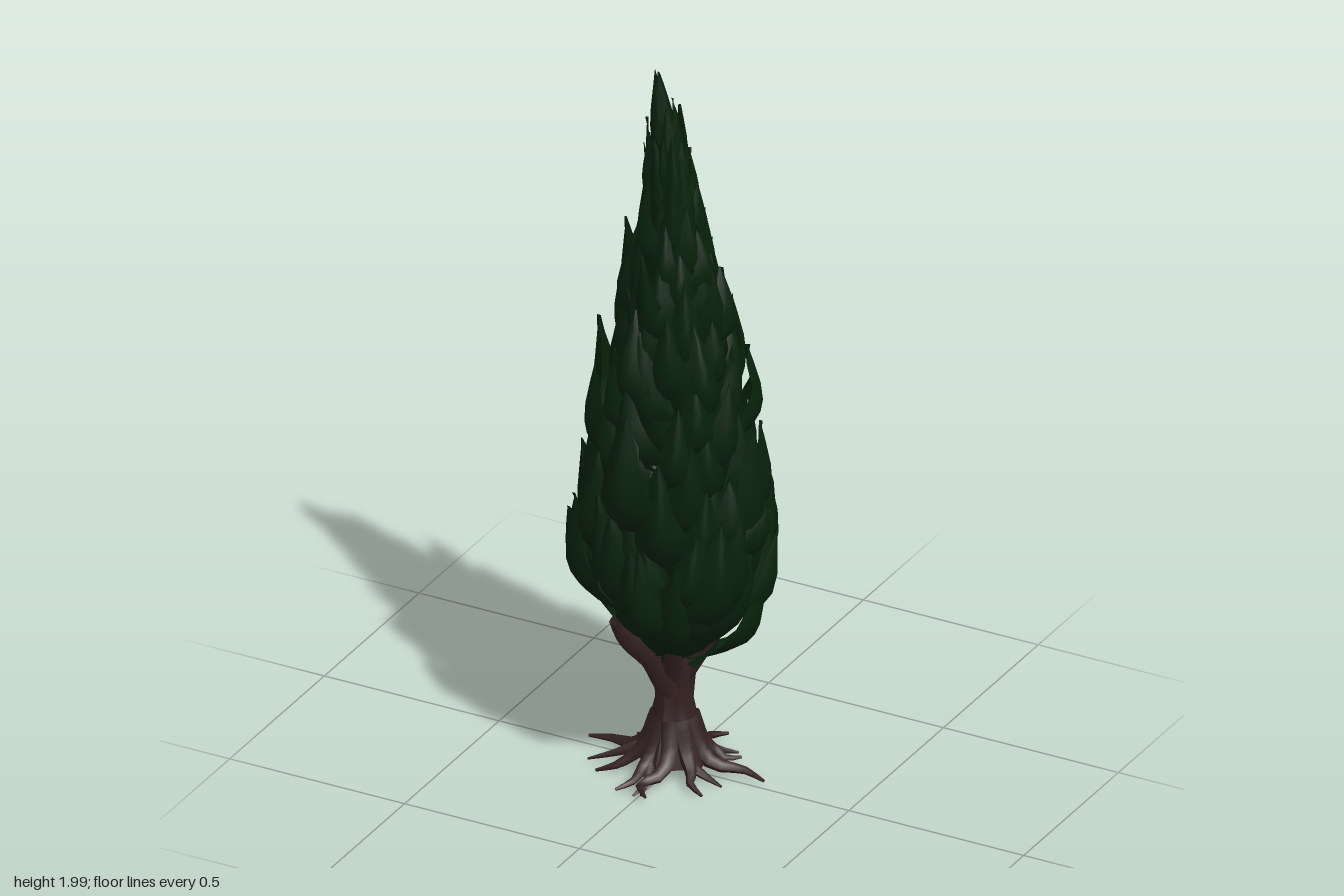
import * as THREE from 'three';
import { mergeGeometries } from 'three/addons/utils/BufferGeometryUtils.js';

const leafGreen = new THREE.MeshStandardMaterial({ color: 0x08210b, side: THREE.DoubleSide });
leafGreen.name = 'leafGreen';
const barkBrown = new THREE.MeshStandardMaterial({ color: 0x352222, side: THREE.DoubleSide });
barkBrown.name = 'barkBrown';

const V = (x, y, z) => new THREE.Vector3(x, y, z);
const RAD = Math.PI / 180;

// Seeded random numbers in 0..1
let seed = 7;
const rand = () => (seed = (seed * 16807) % 2147483647) / 2147483647;
const vary = (amount) => (rand() * 2 - 1) * amount;

// Crown outline: radius at a given height
const OUTLINE = [[0.33, 0.09], [0.42, 0.18], [0.5, 0.22], [0.6, 0.245], [0.8, 0.235], [1, 0.205],
  [1.2, 0.172], [1.4, 0.125], [1.6, 0.078], [1.75, 0.06], [1.9, 0.035], [2, 0]];
function crownRadius(y) {
  for (let i = 1; i < OUTLINE.length; i++) {
    const [y0, r0] = OUTLINE[i - 1], [y1, r1] = OUTLINE[i];
    if (y <= y1) return THREE.MathUtils.lerp(r0, r1, Math.max(0, (y - y0) / (y1 - y0)));
  }
  return 0;
}

// Pointed, deeply cupped plume that follows a radius/height profile on one side of the trunk
const WIDTHS = [0.4, 0.78, 0.97, 1, 0.9, 0.74, 0.5, 0.27, 0];
function plume(angle, halfWidth, profile) {
  const rows = WIDTHS.length - 1;
  const curve = new THREE.SplineCurve(profile.map(([r, y]) => new THREE.Vector2(r, y)));
  const geo = new THREE.PlaneGeometry(2, 1, 6, rows);
  const pos = geo.attributes.position;
  const sin = Math.sin(angle), cos = Math.cos(angle), sway = vary(0.35);
  for (let i = 0; i < pos.count; i++) {
    const s = pos.getX(i), t = THREE.MathUtils.clamp(pos.getY(i) + 0.5, 0, 1);
    const p = curve.getPoint(t);
    const edge = Math.abs(s) > 0.9;
    const w = halfWidth * WIDTHS[Math.round(t * rows)] * (edge ? 1 + vary(0.16) : 1);
    const across = s * w + sway * halfWidth * t * t;
    const out = p.x - 0.8 * w * Math.pow(Math.abs(s), 1.6) + (edge ? vary(0.008) : 0);
    const lean = Math.pow(Math.max(0, p.y - 1), 3);
    pos.setXYZ(i, sin * out + cos * across - 0.035 * lean, p.y - 0.1 * w * s * s,
      cos * out - sin * across + 0.02 * lean);
  }
  geo.computeVertexNormals();
  return geo;
}

// Tapered limb along a curve
function limb(points, r0, r1, sides = 7, steps = 9) {
  const curve = new THREE.CatmullRomCurve3(points);
  const geo = new THREE.TubeGeometry(curve, steps, 1, sides);
  const pos = geo.attributes.position, v = V(0, 0, 0);
  for (let i = 0; i < pos.count; i++) {
    const t = Math.floor(i / (sides + 1)) / steps;
    const c = curve.getPointAt(t);
    v.fromBufferAttribute(pos, i).sub(c).multiplyScalar(THREE.MathUtils.lerp(r0, r1, t)).add(c);
    pos.setXYZ(i, v.x, v.y, v.z);
  }
  geo.computeVertexNormals();
  return geo;
}

const polar = (angle, r, y) => V(Math.sin(angle) * r, y, Math.cos(angle) * r);

function buildTrunk() {
  const profile = [[0.09, 0.035], [0.084, 0.06], [0.07, 0.1], [0.056, 0.15], [0.046, 0.2], [0.05, 0.26],
    [0.062, 0.32], [0.052, 0.42], [0.032, 0.9], [0.006, 1.7]].map(([r, y]) => new THREE.Vector2(r, y));
  const geo = new THREE.LatheGeometry(profile, 20);
  const pos = geo.attributes.position;
  for (let i = 0; i < pos.count; i++) {
    const x = pos.getX(i), y = pos.getY(i), z = pos.getZ(i);
    const k = 1 + 0.1 * Math.cos(5 * Math.atan2(x, z) + y * 5);
    pos.setXYZ(i, x * k, y, z * k);
  }
  geo.computeVertexNormals();
  return geo;
}

function buildRoots() {
  const parts = [];
  const lengths = [0.22, 0.19, 0.25, 0.17, 0.2, 0.23, 0.18, 0.25, 0.2, 0.21];
  lengths.forEach((len, i) => {
    const a = (i / lengths.length) * Math.PI * 2 + 0.3, bend = vary(0.35);
    parts.push(limb([polar(a, 0.035, 0.15), polar(a, 0.075, 0.07), polar(a + bend * 0.3, 0.115, 0.038),
      polar(a + bend, len * 0.75, 0.028), polar(a + bend * 0.4, len, 0.01 + rand() * 0.018)], 0.032, 0.004, 6));
    // side rootlet
    if (i % 3 === 2) return;
    const side = i % 2 ? 0.4 : -0.4;
    parts.push(limb([polar(a, 0.08, 0.05), polar(a + side * 0.7, len * 0.62, 0.024),
      polar(a + side * 0.9, len * 0.88, 0.008)], 0.018, 0.003, 5, 6));
  });
  return mergeGeometries(parts);
}

const FORK = -25 * RAD; // side on which the forked bough shows

function buildBoughs() {
  const parts = [limb([V(0, 0.24, 0.01), polar(FORK, 0.07, 0.34), polar(FORK, 0.15, 0.42),
    polar(FORK, 0.18, 0.48)], 0.046, 0.02)];
  [25, 95, 150, 215, 270].forEach((d) => {
    const a = d * RAD;
    parts.push(limb([V(0, 0.25, 0), polar(a, 0.06, 0.34), polar(a, 0.11, 0.42), polar(a, 0.13, 0.6)], 0.036, 0.008));
  });
  return mergeGeometries(parts);
}

// Overlapping plumes set in a spiral up the crown
function buildFoliage(count, scale, turn) {
  const parts = [];
  for (let i = 0; i < count; i++) {
    const f = i / (count - 1);
    const a = i * 2.39996 + turn + vary(0.2);
    const y0 = 0.32 + 1.33 * Math.pow(f, 1.15);
    const gap = Math.atan2(Math.sin(a - FORK), Math.cos(a - FORK));
    if (y0 < 0.42 && Math.abs(gap) < 0.4) continue;
    const len = THREE.MathUtils.lerp(0.35, 0.23, f) * (1 + vary(0.18));
    const w = THREE.MathUtils.lerp(0.105, 0.043, f) * (1 + vary(0.15));
    const puff = scale * (0.98 + vary(0.11)), flare = vary(0.012);
    const at = (t, k) => [crownRadius(y0 + len * t) * k * puff, y0 + len * t];
    const tip = at(1, 1.02);
    parts.push(plume(a, w, [at(0, 0.4), at(0.2, 0.86), at(0.5, 1.06), [tip[0] + flare, tip[1]]]));
  }
  return mergeGeometries(parts);
}

// Larger plumes standing out: angle, foot, tip, half width, foot/belly/tip radius
const OUTER = [
  [90, 0.62, 1.05, 0.09, 0.13, 0.265, 0.24], [92, 0.34, 0.62, 0.07, 0.07, 0.245, 0.25],
  [-90, 0.5, 0.89, 0.095, 0.14, 0.268, 0.25], [-88, 0.9, 1.25, 0.08, 0.12, 0.22, 0.205],
  [95, 0.95, 1.26, 0.075, 0.11, 0.185, 0.172], [80, 1.2, 1.48, 0.06, 0.07, 0.16, 0.145],
  [-85, 1.22, 1.54, 0.06, 0.07, 0.145, 0.13], [-5, 0.72, 1.13, 0.1, 0.13, 0.3, 0.26],
  [180, 0.4, 0.9, 0.12, 0.12, 0.305, 0.26], [5, 0.42, 0.74, 0.085, 0.12, 0.265, 0.25],
  [0, 1.22, 1.53, 0.06, 0.07, 0.15, 0.15], [178, 1.22, 1.55, 0.06, 0.07, 0.165, 0.15],
  [185, 1, 1.3, 0.075, 0.11, 0.205, 0.18], [52, 0.45, 0.82, 0.1, 0.13, 0.28, 0.25],
  [-57, 0.46, 0.8, 0.1, 0.13, 0.275, 0.25], [225, 0.5, 0.9, 0.1, 0.13, 0.28, 0.24],
  [135, 0.46, 0.84, 0.1, 0.13, 0.275, 0.24], [110, 0.42, 0.74, 0.09, 0.12, 0.26, 0.24],
  [-20, 0.5, 0.86, 0.09, 0.13, 0.26, 0.24], [203, 0.38, 0.72, 0.09, 0.1, 0.265, 0.25],
  [-112, 0.4, 0.7, 0.09, 0.1, 0.25, 0.24],
];
function buildOuterPlumes() {
  return mergeGeometries(OUTER.map(([d, y0, y1, w, r0, r1, r2]) => {
    const h = y1 - y0;
    return plume(d * RAD, w, [[r0, y0], [r0 * 0.3 + r1 * 0.7, y0 + h * 0.2], [r1, y0 + h * 0.5], [r2, y1]]);
  }));
}

// Slender plumes closing the top: angle, tip height, belly radius, tip radius
const TIP = [[-90, 2, 0.036, 0.002], [70, 1.99, 0.03, 0.002], [95, 1.92, 0.05, 0.03], [180, 1.86, 0.05, 0.035],
  [10, 1.9, 0.045, 0.018], [-70, 1.85, 0.06, 0.045], [150, 1.82, 0.055, 0.05], [40, 1.8, 0.06, 0.05]];
function buildTip() {
  return mergeGeometries(TIP.map(([d, top, belly, tip]) => plume(d * RAD, 0.047,
    [[0.015, top - 0.33], [belly * 0.9, top - 0.25], [belly, top - 0.15], [tip, top]])));
}

export function createModel() {
  const tree = new THREE.Group();
  tree.name = 'cypressTree';
  const add = (name, geo, mat) => {
    const mesh = new THREE.Mesh(geo, mat);
    mesh.name = name;
    tree.add(mesh);
  };
  add('trunk', buildTrunk(), barkBrown);
  add('roots', buildRoots(), barkBrown);
  add('boughs', buildBoughs(), barkBrown);
  add('foliage', buildFoliage(125, 1, 0.3), leafGreen);
  add('innerFoliage', buildFoliage(90, 0.8, 1.5), leafGreen);
  add('outerPlumes', buildOuterPlumes(), leafGreen);
  add('treeTip', buildTip(), leafGreen);
  return tree;
}
